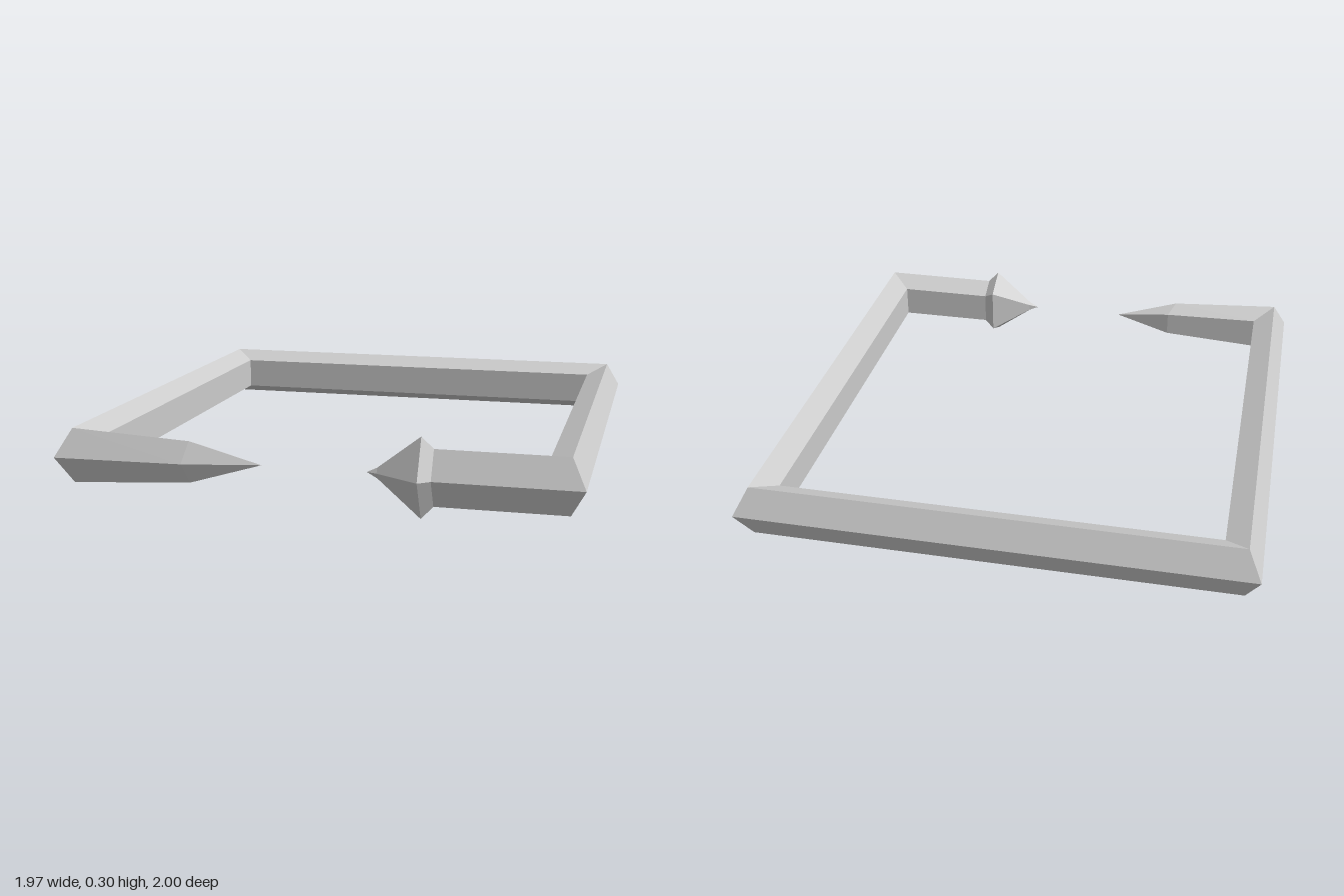
import * as THREE from 'three';

const MID_Y = 0.15;   // height of the bar's centre line
const DEPTH = 0.078;  // pentagon radius across the bar
const HEIGHT = 0.1104; // pentagon radius upwards
const SIDES = 5;

// One pentagonal ring: centre (x, z), outward direction (ox, oz), scale s.
function ring([x, z, ox, oz, s]) {
  return Array.from({ length: SIDES }, (_, i) => {
    const a = (i / SIDES) * Math.PI * 2;
    const out = Math.cos(a) * DEPTH * s;
    return [x + ox * out, MID_Y + Math.sin(a) * HEIGHT * s, z + oz * out];
  });
}

// Joins successive rings with flat faces; a ring of scale 0 is a point.
function sweep(name, stations, material) {
  const rings = stations.map(ring);
  const pos = [];
  for (let i = 0; i < rings.length - 1; i++) {
    const a = rings[i], b = rings[i + 1];
    for (let j = 0; j < SIDES; j++) {
      const k = (j + 1) % SIDES;
      if (stations[i][4] > 0) pos.push(...a[j], ...a[k], ...b[k]);
      if (stations[i + 1][4] > 0) pos.push(...a[j], ...b[k], ...b[j]);
    }
  }
  const geometry = new THREE.BufferGeometry();
  geometry.setAttribute('position', new THREE.Float32BufferAttribute(pos, 3));
  geometry.computeVertexNormals();
  const mesh = new THREE.Mesh(geometry, material);
  mesh.name = name;
  return mesh;
}

export function createModel() {
  const material = new THREE.MeshStandardMaterial({ color: 0xcccccc, flatShading: true });
  const X = 0.905, FRONT = 0.888, BACK = -0.922;

  // Stations shared by neighbouring parts
  const frontRight = [-X, FRONT, -1, 1, 1];
  const neck = [0.448, FRONT, 0, 1, 1];

  const group = new THREE.Group();
  group.name = 'openSquareRing';
  group.add(
    // Tapering spike on the front, with a slanted shoulder
    sweep('taperedSpike', [
      [-0.195, FRONT, 0, 1, 0],
      [-0.46, FRONT, -0.45, 1, 0.75],
      frontRight,
    ], material),
    // Square frame with mitred corners, open at the front
    sweep('frame', [
      frontRight,
      [-X, BACK, -1, -1, 1],
      [X, BACK, 1, -1, 1],
      [X, FRONT, 1, 1, 1],
      neck,
    ], material),
    // Flared arrowhead facing the spike
    sweep('arrowhead', [
      neck,
      [0.405, FRONT, 0, 1, 1.428],
      [0.24, FRONT, 0, 1, 0.19],
      [0.2, FRONT, 0, 1, 0],
    ], material),
  );
  return group;
}
